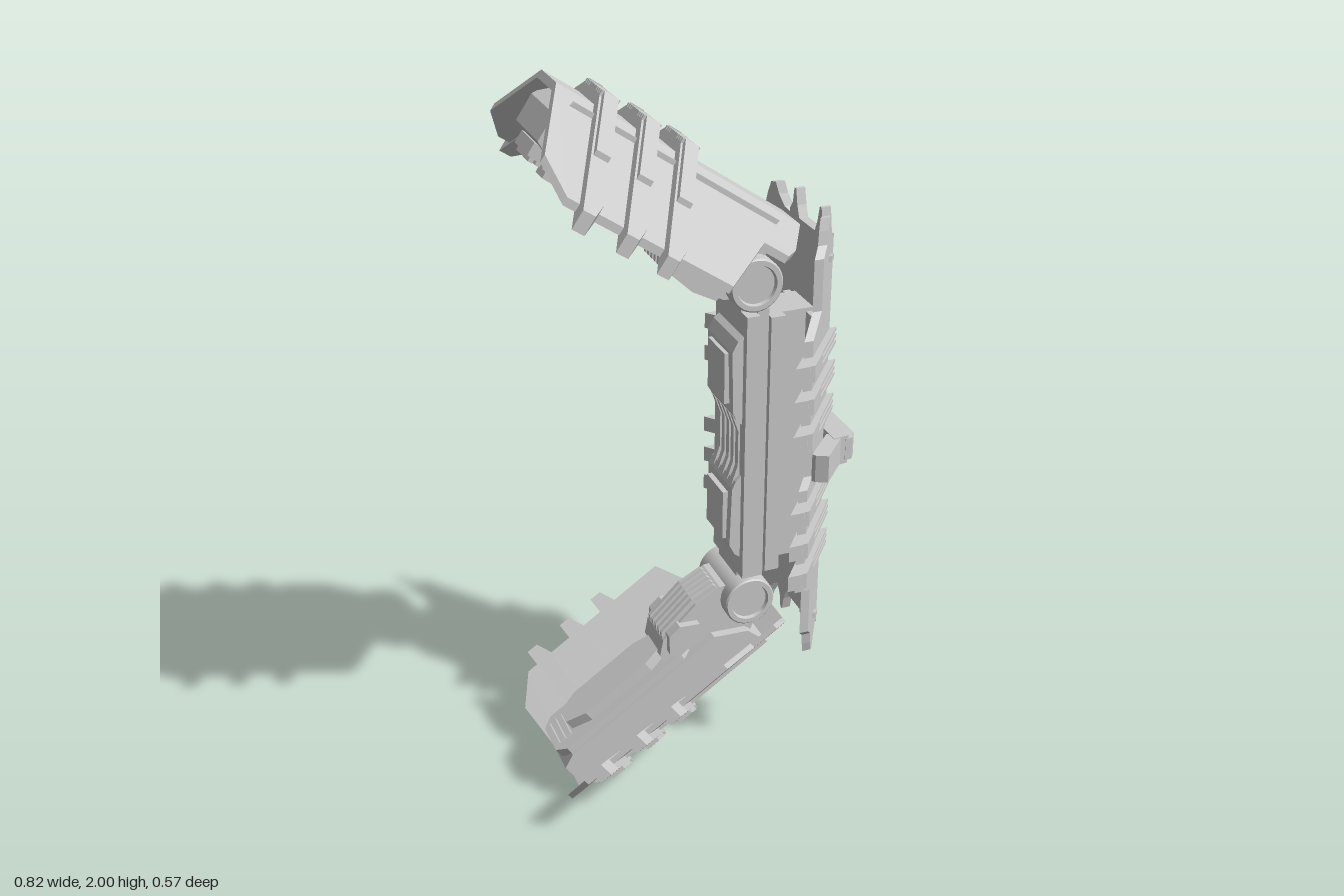
import * as THREE from 'three';
import { toCreasedNormals } from 'three/addons/utils/BufferGeometryUtils.js';

const material = new THREE.MeshStandardMaterial({ color: 0xcccccc, side: THREE.DoubleSide });

function add(parent, geometry, name, x = 0, y = 0, z = 0) {
  const mesh = new THREE.Mesh(geometry, material);
  mesh.name = name;
  mesh.position.set(x, y, z);
  parent.add(mesh);
  return mesh;
}

function box(parent, name, x0, x1, y0, y1, z0, z1) {
  const g = new THREE.BoxGeometry(x1 - x0, y1 - y0, z1 - z0);
  return add(parent, g, name, (x0 + x1) / 2, (y0 + y1) / 2, (z0 + z1) / 2);
}

const shapeOf = (pts) => new THREE.Shape(pts.map(([a, b]) => new THREE.Vector2(a, b)));
const mirrorZ = (pts) => pts.map(([a, b]) => [a, -b]);

// Plate drawn in (x, z), following the folded surface y = fold(z)
function plate(parent, name, pts, fold, low, high) {
  const g = new THREE.ExtrudeGeometry(shapeOf(pts), { depth: high - low, bevelEnabled: false });
  const p = g.attributes.position;
  for (let i = 0; i < p.count; i++) {
    const b = p.getY(i);
    p.setXYZ(i, p.getX(i), fold(b) + low + p.getZ(i), -b);
  }
  g.computeVertexNormals();
  return add(parent, g, name);
}

function platePair(parent, name, pts, fold, low, high) {
  plate(parent, name, pts, fold, low, high);
  plate(parent, name, mirrorZ(pts), fold, low, high);
}

// Side profile drawn in (x, y), given a width along z
function profile(parent, name, pts, z0, z1) {
  const g = new THREE.ExtrudeGeometry(shapeOf(pts), { depth: z1 - z0, bevelEnabled: false });
  return add(parent, g, name, 0, 0, z0);
}

const rect = (a0, a1, b0, b1) => [[a0, b0], [a1, b0], [a1, b1], [a0, b1]];
const flat = () => 0;

// Limb frame: x runs from tip to hinge, y points out through the armour
function makeLimb(name) {
  const limb = new THREE.Group();
  limb.name = name;
  const fold = (z) => -0.92 * Math.max(0, Math.abs(z) - 0.055);

  // Folded armour shell
  plate(limb, 'armourRidge', rect(0, 0.733, -0.055, 0.055), fold, -0.02, 0);
  platePair(limb, 'armourSide', [[0, 0.055], [0, 0.2], [0.071, 0.255], [0.544, 0.255],
    [0.626, 0.135], [0.705, 0.135], [0.725, 0.115], [0.733, 0.055]], fold, -0.02, 0);

  // Bands across the armour
  for (const s of [0.13, 0.25, 0.365]) {
    const a = s - 0.026, b = s + 0.026;
    platePair(limb, 'armourBand', [[a, 0.055], [b, 0.055], [b, 0.255], [b - 0.018, 0.285], [a, 0.285]],
      fold, -0.025, 0.024);
    platePair(limb, 'bandRaisedBar', rect(s - 0.02, s + 0.02, 0.055, 0.175), fold, 0.02, 0.038);
    box(limb, 'bandCentre', a, b, -0.01, 0.026, -0.055, 0.055);
    box(limb, 'bandCentrePad', a, b, 0.026, 0.036, -0.022, 0.022);
    for (const z of [0.029, 0.039, 0.05]) {
      for (const k of [-1, 1]) box(limb, 'bandFin', a, b, 0.02, 0.036, k * z - 0.003, k * z + 0.003);
    }
  }

  // Inner beam and elbow link
  profile(limb, 'innerBeam', [[0.02, -0.06], [0.02, -0.13], [0.06, -0.15], [0.56, -0.15],
    [0.64, -0.09], [0.66, -0.015], [0.05, -0.015]], -0.085, 0.085);
  profile(limb, 'elbowLink', [[0.4, -0.1], [0.415, -0.2], [0.45, -0.235], [0.58, -0.258],
    [0.66, -0.252], [0.75, -0.2], [0.74, -0.14], [0.65, -0.07], [0.56, -0.05]], -0.06, 0.06);
  for (const k of [-1, 1]) {
    const z = k * 0.065;
    profile(limb, 'linkSideBoss', [[0.44, -0.2], [0.47, -0.245], [0.51, -0.25], [0.555, -0.215],
      [0.55, -0.18], [0.45, -0.17]], z - 0.015, z + 0.015);
  }
  // Long casing on the inner face, stepped towards the tip
  plate(limb, 'innerCasing', [[0.03, -0.05], [0.03, 0.05], [0.06, 0.075], [0.46, 0.075],
    [0.5, 0.05], [0.5, -0.05], [0.46, -0.075], [0.06, -0.075]], flat, -0.172, -0.14);
  plate(limb, 'casingBoss', [[0.1, -0.025], [0.1, 0.025], [0.16, 0.05], [0.37, 0.05],
    [0.44, 0.03], [0.44, -0.03], [0.37, -0.05], [0.16, -0.05]], flat, -0.205, -0.165);
  for (let i = 0; i < 3; i++) {
    box(limb, 'tipStep', 0.04 + i * 0.02, 0.052 + i * 0.02, -0.184, -0.165, -0.045, 0.045);
  }
  // Cooling fins beside the elbow
  for (let i = -2; i <= 2; i++) {
    profile(limb, 'elbowFin', [[0.42, -0.18], [0.46, -0.252], [0.58, -0.272], [0.65, -0.264],
      [0.66, -0.23]], i * 0.022 - 0.006, i * 0.022 + 0.006);
  }

  limb.position.set(-0.33, 2, 0);
  limb.rotation.z = -0.6;
  return limb;
}

function makeHinge(parent, y) {
  const half = [[0, -0.09], [0.05, -0.09], [0.053, -0.1], [0.066, -0.1], [0.07, -0.096]];
  const pts = [...half, ...half.slice().reverse().map(([r, h]) => [r, -h])];
  const g = new THREE.LatheGeometry(pts.map(([r, h]) => new THREE.Vector2(r, h)), 32);
  add(parent, toCreasedNormals(g, 0.6), 'hinge', 0.145, y, 0).rotation.x = Math.PI / 2;
}

// Shield frame: x runs down the shield from its middle, y points outward
function makeShield() {
  const shield = new THREE.Group();
  shield.name = 'shield';
  const fold = (z) => 0.345 - 0.8 * Math.max(0, Math.abs(z) - 0.1);

  const end = [[0.57, -0.1], [0.59, -0.085], [0.63, -0.078], [0.63, -0.068], [0.59, -0.058], [0.56, -0.045]];
  const half = [...end, ...mirrorZ(end).reverse()];
  plate(shield, 'shieldCentre', [...half, ...half.map(([a, b]) => [-a, -b])], fold, -0.025, 0);
  const edge = [[0.04, 0.2], [0.055, 0.24], [0.36, 0.24], [0.405, 0.178], [0.54, 0.178],
    [0.565, 0.155], [0.6, 0.15], [0.63, 0.143], [0.63, 0.133], [0.6, 0.125], [0.57, 0.112], [0.56, 0.1]];
  platePair(shield, 'shieldSide', [...edge, ...edge.map(([a, b]) => [-a, b]).reverse()], fold, -0.025, 0);

  // Bands on the side faces, with slits between thin fins
  for (const c of [0.11, 0.205, 0.295]) {
    for (const a of [c, -c]) {
      platePair(shield, 'shieldBand', [[a - 0.022, 0.1], [a + 0.022, 0.1], [a + 0.022, 0.287],
        [a - 0.022, 0.287]], fold, -0.03, 0.008);
      platePair(shield, 'bandEndBlock', rect(a - 0.022, a + 0.022, 0.225, 0.285), fold, 0, 0.022);
      for (const o of [-0.018, 0, 0.018]) {
        platePair(shield, 'bandFin', rect(a + o - 0.004, a + o + 0.004, 0.1, 0.225), fold, 0, 0.02);
      }
    }
  }
  // Small pins near the spikes
  for (const a of [-0.52, 0.52]) platePair(shield, 'shieldPin', rect(a - 0.008, a + 0.008, 0.125, 0.14), fold, 0, 0.01);

  shield.position.y = 1;
  shield.rotation.z = -Math.PI / 2;
  return shield;
}

// Clamp wrapped round the middle of the shield
function makeClamp() {
  const clamp = new THREE.Group();
  clamp.name = 'clamp';
  clamp.position.y = 1;
  platePair(clamp, 'clampJaw', [[0.335, 0.008], [0.378, 0.008], [0.378, 0.17], [0.335, 0.175]], flat, -0.04, 0.04);
  platePair(clamp, 'clampPad', [[0.37, 0.008], [0.38, 0.006], [0.405, 0.022], [0.405, 0.148],
    [0.39, 0.17], [0.37, 0.172]], flat, -0.031, 0.031);
  platePair(clamp, 'clampArm', [[0.25, 0.225], [0.255, 0.235], [0.285, 0.25], [0.36, 0.168], [0.33, 0.14]],
    flat, -0.038, 0.038);
  return clamp;
}

function makeTrunk() {
  const trunk = new THREE.Group();
  trunk.name = 'trunk';
  box(trunk, 'backPlate', 0.12, 0.155, 0.62, 1.38, -0.1, 0.1);
  box(trunk, 'column', 0.155, 0.185, 0.61, 1.39, -0.085, 0.085);
  box(trunk, 'columnCore', 0.185, 0.225, 0.63, 1.37, -0.1, 0.1);
  box(trunk, 'shieldMount', 0.22, 0.33, 0.64, 1.36, -0.055, 0.055);
  for (const k of [-1, 1]) {
    // Stepped panels on the inner face
    const panel = [[0.125, 0.07], [0.105, 0.09], [0.095, 0.11], [0.09, 0.28], [0.105, 0.31], [0.125, 0.325]];
    profile(trunk, 'innerPanel', panel.map(([x, y]) => [x, 1 + k * y]), -0.08, 0.08);
    const y = 1 + k * 0.2;
    box(trunk, 'panelCover', 0.08, 0.1, y - 0.07, y + 0.07, -0.055, 0.055);
    // Hinge lugs and mount brackets
    box(trunk, 'hingeLug', 0.12, 0.185, 1 + k * 0.41 - 0.05, 1 + k * 0.41 + 0.05, -0.06, 0.06);
    box(trunk, 'mountBracket', 0.3, 0.335, 1 + k * 0.3 - 0.05, 1 + k * 0.3 + 0.05, -0.088, 0.088);
    makeHinge(trunk, 1 + k * 0.46);
  }
  // Ridges between the two panels
  for (let i = -2; i <= 2; i++) {
    profile(trunk, 'innerRidge', [[0.13, 0.87], [0.098, 0.9], [0.115, 0.95], [0.115, 1.05],
      [0.098, 1.1], [0.13, 1.13]], i * 0.03 - 0.008, i * 0.03 + 0.008);
  }
  return trunk;
}

export function createModel() {
  const model = new THREE.Group();
  model.name = 'foldedLimbFrame';
  model.add(makeTrunk(), makeShield(), makeClamp(), makeLimb('upperLimb'));
  // Lower limb: the same part turned over about the middle height
  const lower = new THREE.Group();
  lower.name = 'lowerLimbMount';
  lower.position.y = 2;
  lower.rotation.x = Math.PI;
  lower.add(makeLimb('lowerLimb'));
  model.add(lower);
  return model;
}
